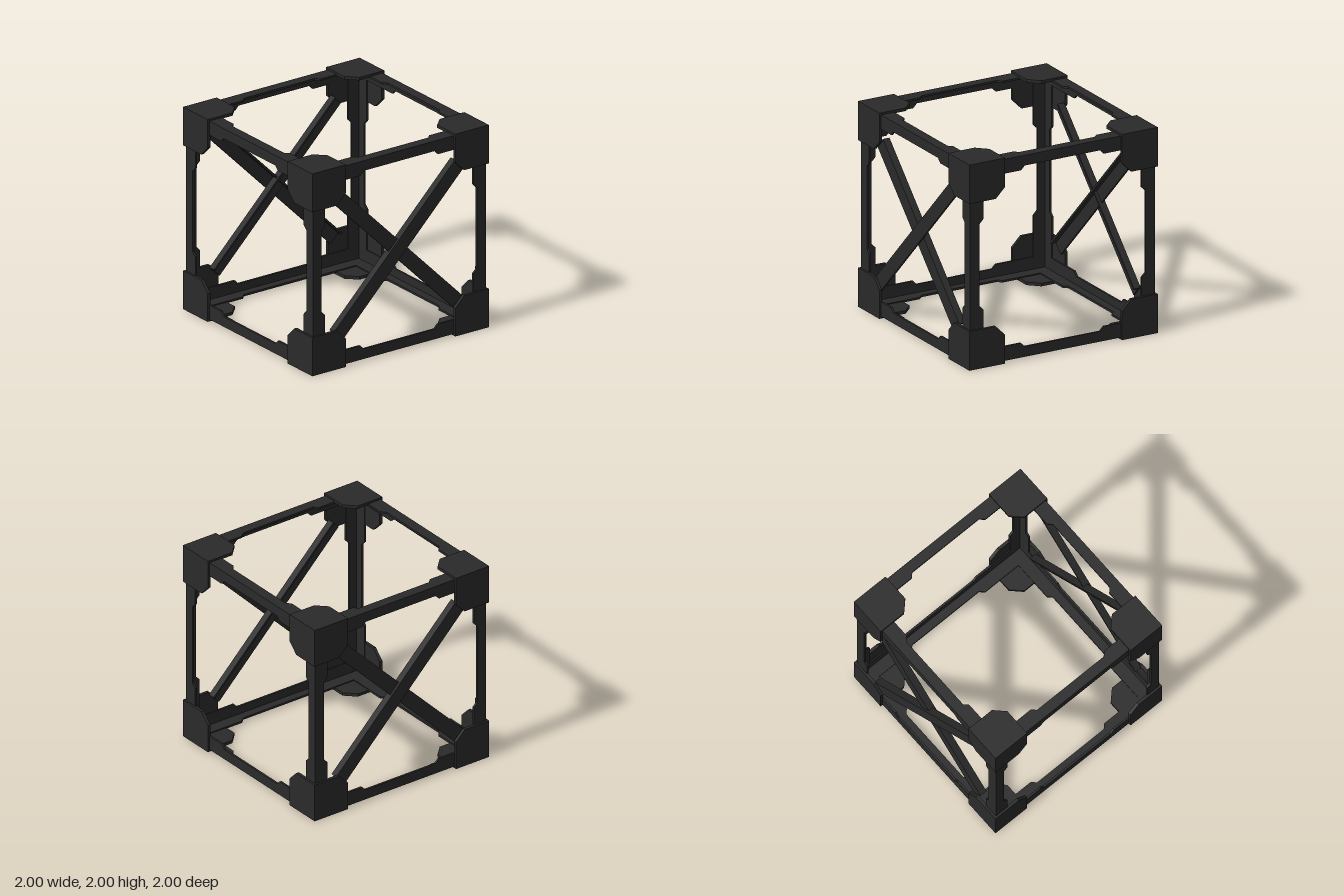
import * as THREE from 'three';

const material = new THREE.MeshStandardMaterial({ color: 0x2a2a2a, flatShading: true });
const DIAGONAL = new THREE.Vector3(1, 1, 1).normalize();
const Y = new THREE.Vector3(0, 1, 0);
const X = new THREE.Vector3(1, 0, 0);
const THIRD = (Math.PI * 2) / 3;

// Flat plate cut from an outline in the xy plane, between z = back and z = front
function plate(name, points, back, front) {
  const shape = new THREE.Shape(points.map(([x, y]) => new THREE.Vector2(x, y)));
  const geometry = new THREE.ExtrudeGeometry(shape, { depth: front - back, bevelEnabled: false });
  geometry.translate(0, 0, back);
  const mesh = new THREE.Mesh(geometry, material);
  mesh.name = name;
  return mesh;
}

// Three chamfered plates meeting at one cube corner
function cornerBracket() {
  const group = new THREE.Group();
  group.name = 'cornerBracket';
  const outline = [[1, 1], [0.62, 1], [0.62, 0.72], [0.72, 0.62], [1, 0.62]];
  for (let i = 0; i < 3; i++) {
    const side = plate('cornerPlate', outline, 0.97, 1);
    side.quaternion.setFromAxisAngle(DIAGONAL, i * THIRD);
    group.add(side);
  }
  return group;
}

// Angle beam along x, with flanges that widen toward the corners
function edgeBeam() {
  const group = new THREE.Group();
  group.name = 'edgeBeam';
  const outline = [
    [-0.98, 0.98], [-0.98, 0.84], [-0.44, 0.84], [-0.4, 0.88],
    [0.4, 0.88], [0.44, 0.84], [0.98, 0.84], [0.98, 0.98],
  ];
  const foldAxis = new THREE.Vector3(0, 1, 1).normalize();
  for (let i = 0; i < 2; i++) {
    const flange = plate('beamFlange', outline, 0.96, 0.98);
    flange.quaternion.setFromAxisAngle(foldAxis, i * Math.PI);
    group.add(flange);
  }
  return group;
}

// Diagonal angle brace: a flat face with a flange folded inward on its upper edge
function brace(name, angle, front) {
  const group = new THREE.Group();
  group.name = name;
  const width = 0.141, length = 1.94, thickness = 0.02, depth = 0.07;
  const face = new THREE.Mesh(new THREE.BoxGeometry(length, width, thickness), material);
  face.name = 'braceFace';
  face.position.z = front - thickness / 2;
  const flange = new THREE.Mesh(new THREE.BoxGeometry(length, thickness, depth), material);
  flange.name = 'braceFlange';
  flange.position.set(0, width / 2 - thickness / 2, front - depth / 2);
  group.add(face, flange);
  group.rotation.z = angle;
  return group;
}

export function createModel() {
  const model = new THREE.Group();
  model.name = 'cubeFrame';
  const frame = new THREE.Group();
  frame.name = 'frame';
  frame.position.y = 1;
  model.add(frame);

  // Eight corner brackets
  for (let flip = 0; flip < 2; flip++) {
    for (let i = 0; i < 4; i++) {
      const bracket = cornerBracket();
      bracket.quaternion.setFromAxisAngle(Y, (i * Math.PI) / 2)
        .multiply(new THREE.Quaternion().setFromAxisAngle(X, flip * Math.PI));
      frame.add(bracket);
    }
  }

  // Twelve edge beams, four along each axis
  for (let axis = 0; axis < 3; axis++) {
    for (let i = 0; i < 4; i++) {
      const beam = edgeBeam();
      beam.quaternion.setFromAxisAngle(DIAGONAL, axis * THIRD)
        .multiply(new THREE.Quaternion().setFromAxisAngle(X, (i * Math.PI) / 2));
      frame.add(beam);
    }
  }

  // Crossed braces on the front and back
  for (const [name, turn] of [['frontBraces', 0], ['backBraces', Math.PI]]) {
    const pair = new THREE.Group();
    pair.name = name;
    pair.rotation.y = turn;
    pair.add(brace('outerBrace', Math.PI / 4, 0.975), brace('innerBrace', -Math.PI / 4, 0.953));
    frame.add(pair);
  }
  return model;
}
